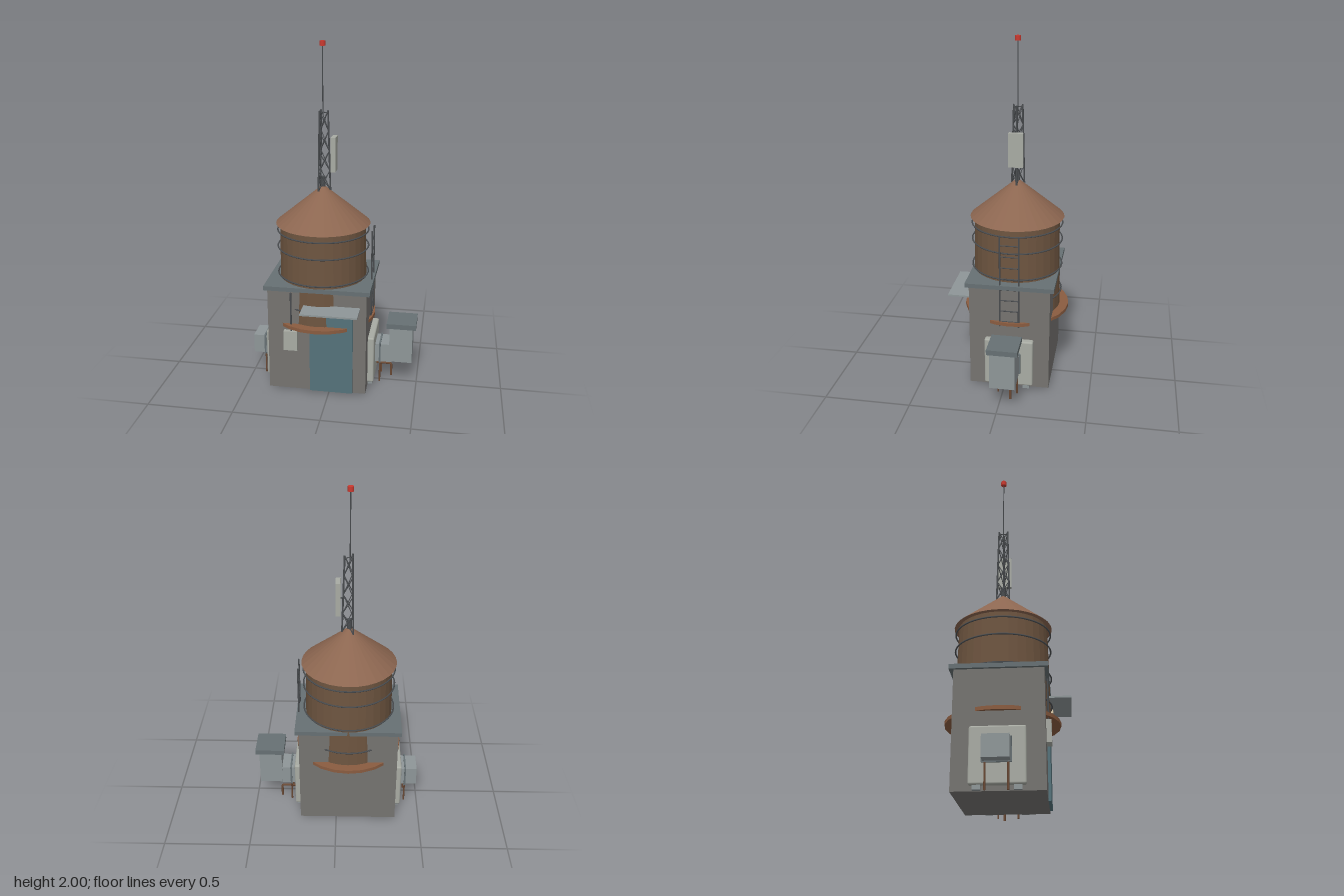
import * as THREE from 'three';
import { RoundedBoxGeometry } from 'three/addons/geometries/RoundedBoxGeometry.js';

const mat = (color, flatShading = false) => new THREE.MeshStandardMaterial({ color, flatShading });
const M = {
  wall: mat(0x757370), slab: mat(0x667073), roof: mat(0x8c6650, true), wood: mat(0x6e5540, true),
  deck: mat(0x8a5c40), panel: mat(0xa8aba3), duct: mat(0x8e9698), metal: mat(0x4a4d50),
  door: mat(0x55727a), rust: mat(0x6b4a35), red: mat(0xcc3a30), lamp: mat(0xe0cfae),
};
const CX = -0.07, CZ = -0.03; // tower axis

export function createModel() {
  const model = new THREE.Group();
  const add = (name, geo, material, parent = model) => {
    const mesh = new THREE.Mesh(geo, material);
    mesh.name = name;
    parent.add(mesh);
    return mesh;
  };
  const group = (name) => {
    const g = new THREE.Group();
    g.name = name;
    model.add(g);
    return g;
  };
  // box given by its limits on each axis
  const box = (name, x0, x1, y0, y1, z0, z1, m, parent, radius = 0) => {
    const size = [x1 - x0, y1 - y0, z1 - z0];
    const geo = radius ? new RoundedBoxGeometry(...size, 2, radius) : new THREE.BoxGeometry(...size);
    const mesh = add(name, geo, m, parent);
    mesh.position.set((x0 + x1) / 2, (y0 + y1) / 2, (z0 + z1) / 2);
    return mesh;
  };
  // upright cylinder on the tower axis
  const drum = (name, r0, r1, y0, y1, sides, m) => {
    const mesh = add(name, new THREE.CylinderGeometry(r1, r0, y1 - y0, sides), m);
    mesh.position.set(CX, (y0 + y1) / 2, CZ);
    return mesh;
  };
  // round bar between two points
  const bar = (name, a, b, r, m, parent) => {
    const p = new THREE.Vector3(...a), q = new THREE.Vector3(...b);
    const d = q.clone().sub(p);
    const mesh = add(name, new THREE.CylinderGeometry(r, r, d.length(), 8), m, parent);
    mesh.position.copy(p).add(q).multiplyScalar(0.5);
    mesh.quaternion.setFromUnitVectors(new THREE.Vector3(0, 1, 0), d.normalize());
    return mesh;
  };

  // Building
  box('building', -0.355, 0.215, 0.01, 0.637, -0.26, 0.205, M.wall);
  box('roofSlab', -0.373, 0.235, 0.635, 0.66, -0.283, 0.225, M.slab);
  box('door', -0.11, 0.14, 0.012, 0.52, 0.2, 0.22, M.door);
  box('canopy', -0.143, 0.18, 0.545, 0.555, 0.2, 0.337, M.duct);
  box('doorLamp', -0.01, 0.04, 0.507, 0.528, 0.2, 0.238, M.lamp);
  box('meterBox', -0.26, -0.18, 0.27, 0.39, 0.2, 0.232, M.panel);
  bar('conduit', [-0.217, 0.385, 0.216], [-0.217, 0.625, 0.216], 0.005, M.metal);

  // Water tank, running down through the building to its deck
  drum('tank', 0.258, 0.247, 0.42, 0.985, 32, M.wood);
  drum('deck', 0.31, 0.31, 0.41, 0.43, 24, M.deck);
  drum('tankRoof', 0.273, 0.004, 0.978, 1.2, 32, M.roof);
  drum('roofVent', 0.014, 0.014, 1.17, 1.25, 12, M.metal);
  for (const y of [0.52, 0.68, 0.84, 0.94]) {
    const hoop = add('hoop', new THREE.TorusGeometry(0.264, 0.0045, 6, 48), M.metal);
    hoop.rotation.x = Math.PI / 2;
    hoop.position.set(CX, y, CZ);
  }

  // Ladder on the left side
  const ladder = group('ladder');
  for (const z of [0.025, -0.083]) bar('ladderRail', [0.222, 0.4, z], [0.222, 0.955, z], 0.0045, M.metal, ladder);
  for (let y = 0.43; y < 0.93; y += 0.067) bar('ladderRung', [0.222, y, 0.025], [0.222, y, -0.083], 0.0035, M.metal, ladder);

  // Lattice mast: three legs with crossed braces
  const mast = group('mast');
  const corner = (i, t) => {
    const a = i * Math.PI * 2 / 3, r = 0.042 - 0.013 * t;
    return [CX + Math.cos(a) * r, 1.17 + 0.455 * t, CZ + Math.sin(a) * r];
  };
  const levels = 4;
  for (let i = 0; i < 3; i++) {
    bar('mastLeg', corner(i, 0), corner(i, 1), 0.005, M.metal, mast);
    for (let k = 0; k < levels; k++) {
      const t0 = k / levels, t1 = (k + 1) / levels;
      bar('mastBrace', corner(i, t0), corner(i + 1, t1), 0.0028, M.metal, mast);
      bar('mastBrace', corner(i + 1, t0), corner(i, t1), 0.0028, M.metal, mast);
    }
  }
  bar('antennaRod', [CX, 1.6, CZ], [CX, 1.98, CZ], 0.003, M.metal, mast);
  for (let i = 0; i < 3; i++) bar('rodHolder', corner(i, 0.97), [CX, 1.615, CZ], 0.003, M.metal, mast);
  drum('beacon', 0.016, 0.016, 1.973, 2, 16, M.red);
  box('panelAntenna', -0.02, 0.007, 1.285, 1.48, -0.071, 0.012, M.panel, mast);
  bar('antennaBracket', [-0.04, 1.38, CZ], [-0.015, 1.38, CZ], 0.004, M.metal, mast);

  // Duct on each side: wall plate, feet, duct stub, band and legs
  for (const side of [-1, 1]) {
    const g = group(side > 0 ? 'leftDuct' : 'rightDuct');
    const X = (d) => CX + side * d; // distance out from the tower axis
    const sbox = (name, d0, d1, y0, y1, z0, z1, m, r) =>
      box(name, Math.min(X(d0), X(d1)), Math.max(X(d0), X(d1)), y0, y1, z0, z1, m, g, r);
    sbox('wallPlate', 0.28, 0.322, 0.035, 0.323, -0.17, 0.112, M.panel, 0.01);
    for (const z of [-0.13, 0.07]) sbox('plateFoot', 0.28, 0.312, 0.012, 0.04, z - 0.02, z + 0.02, M.duct);
    sbox('ductStub', 0.31, 0.42, 0.138, 0.252, -0.097, 0.038, M.duct);
    sbox('ductBand', 0.345, 0.355, 0.132, 0.258, -0.103, 0.044, M.slab);
    for (const z of [-0.085, 0.027]) bar('ductLeg', [X(0.35), 0, z], [X(0.35), 0.14, z], 0.005, M.rust, g);
  }

  // Vent hood on the left duct
  box('ventHood', 0.335, 0.47, 0.145, 0.367, -0.1, 0.042, M.duct);
  box('ventCap', 0.318, 0.49, 0.365, 0.395, -0.117, 0.055, M.slab);

  // Drain pipe below the vent
  const drain = new THREE.CurvePath();
  const v = (x, y) => new THREE.Vector3(x, y, -0.055);
  drain.add(new THREE.LineCurve3(v(0.24, 0.08), v(0.33, 0.08)));
  drain.add(new THREE.QuadraticBezierCurve3(v(0.33, 0.08), v(0.343, 0.08), v(0.343, 0.067)));
  drain.add(new THREE.LineCurve3(v(0.343, 0.067), v(0.343, 0)));
  add('drainPipe', new THREE.TubeGeometry(drain, 40, 0.007, 8), M.rust);

  return model;
}
